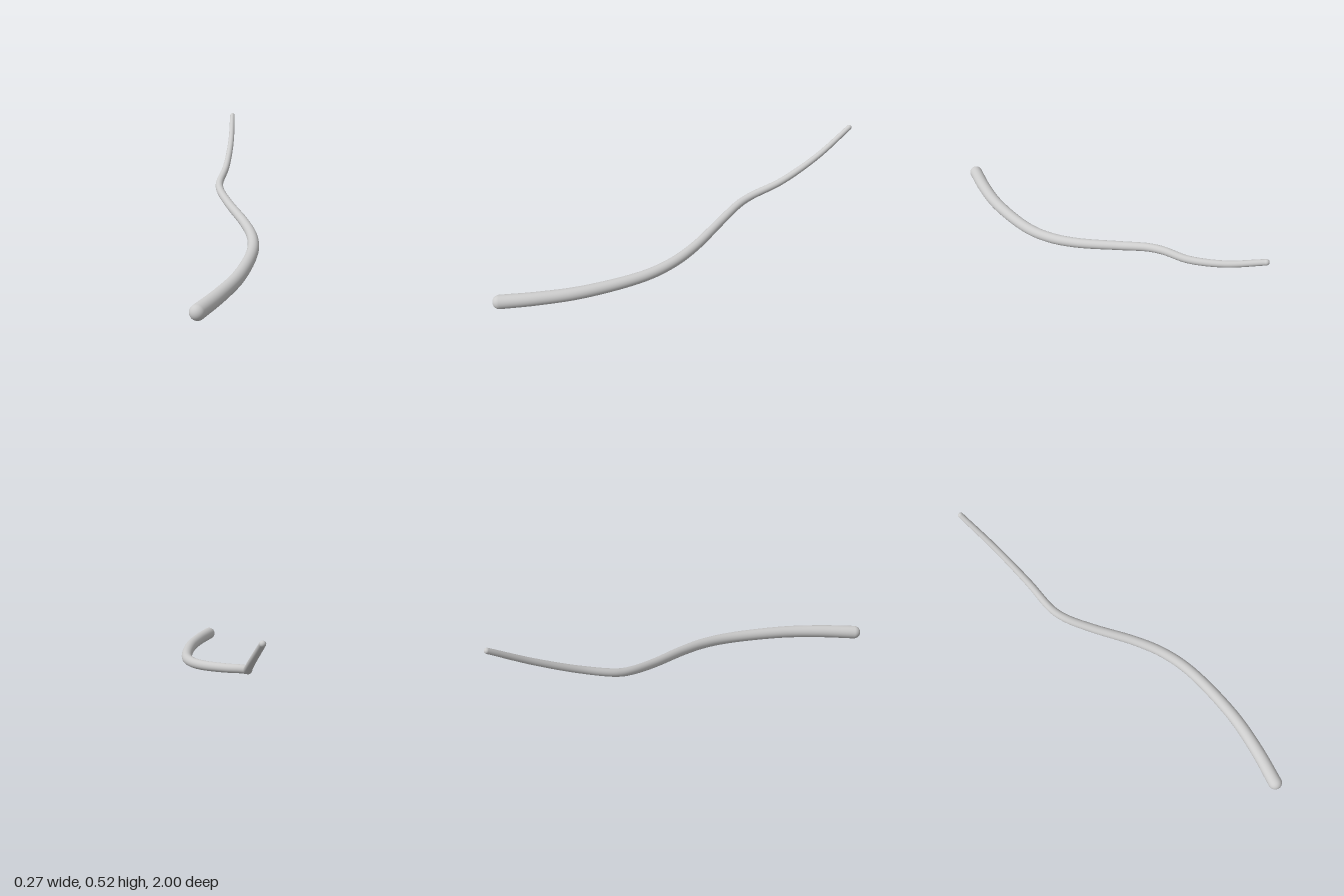
import * as THREE from 'three';

const START_RADIUS = 0.034, END_RADIUS = 0.0135;
const SEGMENTS = 160, SIDES = 32;

// Centre line, from the thick front end to the thin raised back end
const PATH = [
  [-0.065, 0.036, 0.966], [0.005, 0.047, 0.8], [0.068, 0.06, 0.6], [0.108, 0.084, 0.3],
  [0.092, 0.105, 0.14], [0.046, 0.129, 0], [-0.05, 0.173, -0.2], [-0.105, 0.207, -0.33],
  [-0.119, 0.227, -0.41], [-0.099, 0.283, -0.58], [-0.091, 0.385, -0.79], [-0.1, 0.507, -0.988],
];

export function createModel() {
  const group = new THREE.Group();
  group.name = 'taperedTail';
  const material = new THREE.MeshStandardMaterial({ color: 0xcccccc });
  const curve = new THREE.CatmullRomCurve3(PATH.map((p) => new THREE.Vector3(...p)));

  // Tube of radius 1, each ring then scaled to the tapering radius
  const geometry = new THREE.TubeGeometry(curve, SEGMENTS, START_RADIUS, SIDES);
  const position = geometry.attributes.position;
  const vertex = new THREE.Vector3();
  for (let ring = 0; ring <= SEGMENTS; ring++) {
    const t = ring / SEGMENTS;
    const centre = curve.getPointAt(t);
    const scale = THREE.MathUtils.lerp(START_RADIUS, END_RADIUS, t) / START_RADIUS;
    for (let side = 0; side <= SIDES; side++) {
      const i = ring * (SIDES + 1) + side;
      vertex.fromBufferAttribute(position, i).sub(centre).multiplyScalar(scale).add(centre);
      position.setXYZ(i, vertex.x, vertex.y, vertex.z);
    }
  }
  const shaft = new THREE.Mesh(geometry, material);
  shaft.name = 'shaft';
  group.add(shaft);

  // Rounded ends: domes facing outwards along the centre line
  const addCap = (name, t, radius, direction) => {
    const dome = new THREE.SphereGeometry(radius, SIDES, 12, 0, Math.PI * 2, 0, Math.PI / 2);
    const cap = new THREE.Mesh(dome, material);
    cap.name = name;
    cap.position.copy(curve.getPointAt(t));
    const outward = curve.getTangentAt(t).multiplyScalar(direction);
    cap.quaternion.setFromUnitVectors(new THREE.Vector3(0, 1, 0), outward);
    group.add(cap);
  };
  addCap('frontCap', 0, START_RADIUS, -1);
  addCap('backCap', 1, END_RADIUS, 1);

  return group;
}
